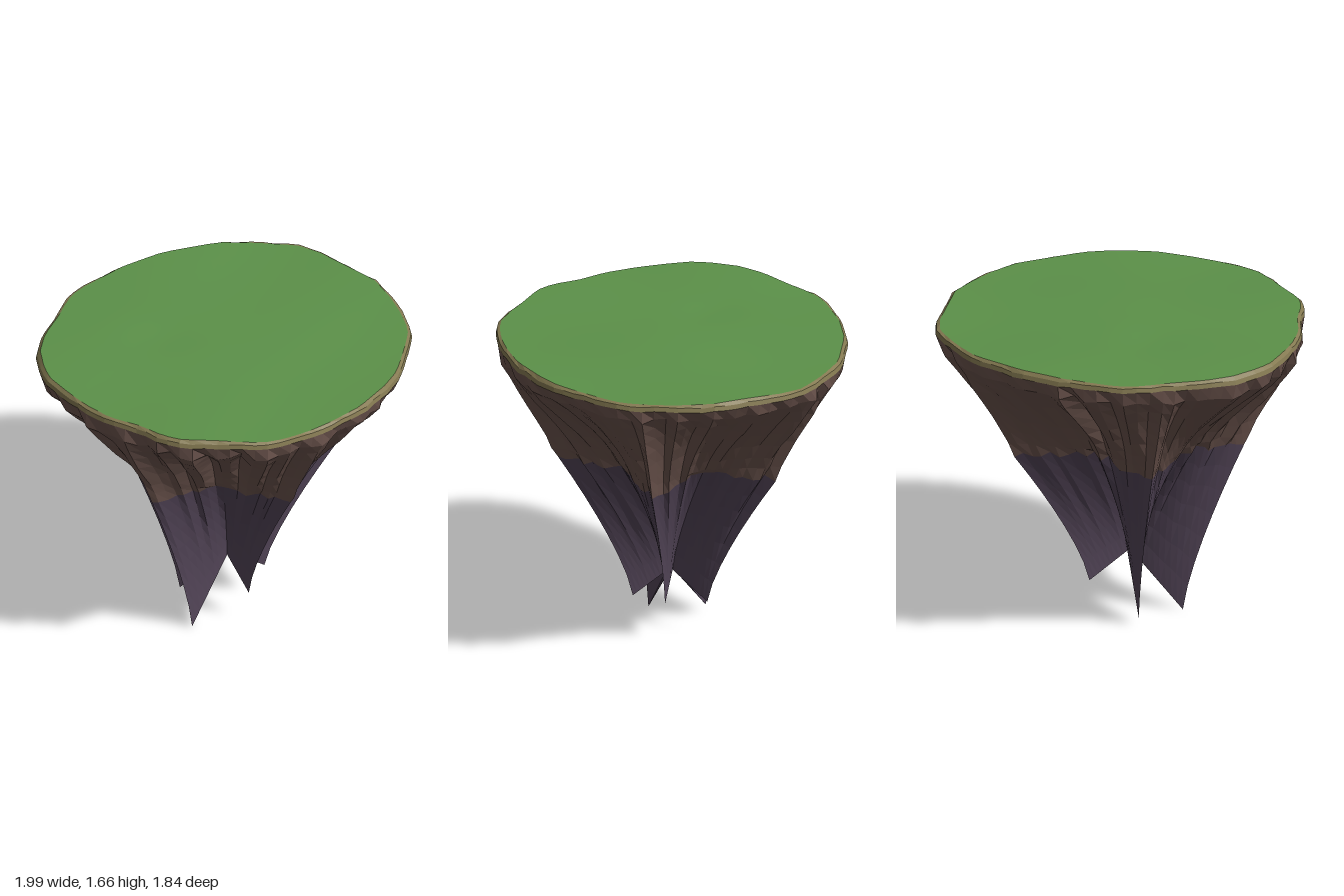
import * as THREE from 'three';

// Plan outline of the island rim as x, z pairs
const OUTLINE = [
  0.99, -0.05, 0.98, 0.1, 0.95, 0.26, 0.89, 0.36, 0.8, 0.49, 0.72, 0.6, 0.6, 0.7, 0.4, 0.82, 0.2, 0.88, 0.05, 0.91,
  -0.1, 0.92, -0.2, 0.91, -0.3, 0.87, -0.45, 0.79, -0.6, 0.72, -0.68, 0.64, -0.75, 0.5, -0.86, 0.36, -0.93, 0.2,
  -0.97, 0.05, -1, -0.1, -0.99, -0.2, -0.94, -0.36, -0.85, -0.49, -0.7, -0.63, -0.6, -0.74, -0.5, -0.81, -0.3, -0.87,
  -0.2, -0.9, 0.05, -0.93, 0.37, -0.9, 0.55, -0.82, 0.74, -0.71, 0.82, -0.6, 0.91, -0.39, 0.98, -0.23,
];
// Tips of the five hanging spikes, in order of angle
const TIPS = [[0.2, 0.2, 0.03], [0.03, 0.18, 0.2], [-0.26, 0, 0.12], [-0.19, 0.04, -0.18], [0.12, 0.18, -0.19]];
const TAU = Math.PI * 2;
const STEPS = 9; // columns between a spike and the neighbouring crease
const CORE_Y = 0.32;

let seed = 11;
const rand = () => {
  seed = (seed * 16807) % 2147483647;
  return seed / 2147483647 - 0.5;
};
const lerp = THREE.MathUtils.lerp;

// Rim radius at a given angle, on the straight edge between outline points
function rimRadius(angle) {
  const dx = Math.cos(angle), dz = Math.sin(angle), n = OUTLINE.length;
  for (let i = 0; i < n; i += 2) {
    const ax = OUTLINE[i], az = OUTLINE[i + 1];
    const bx = OUTLINE[(i + 2) % n], bz = OUTLINE[(i + 3) % n];
    const ca = dx * az - dz * ax, cb = dx * bz - dz * bx;
    if (ca <= 0 && cb > 0 && dx * ax + dz * az > 0) {
      const t = ca / (ca - cb);
      return Math.hypot(lerp(ax, bx, t), lerp(az, bz, t));
    }
  }
  return 0.95;
}

// Columns run from spike to crease to the next spike, all the way round
function makeColumns() {
  const columns = [];
  const angles = TIPS.map(([x, , z]) => (Math.atan2(z, x) + TAU) % TAU);
  TIPS.forEach((tip, i) => {
    const nextTip = TIPS[(i + 1) % 5];
    const a0 = angles[i], a1 = angles[(i + 1) % 5] + (i === 4 ? TAU : 0), mid = (a0 + a1) / 2;
    for (let k = 0; k < STEPS * 2; k++) {
      const rising = k >= STEPS;
      const f = rising ? (2 * STEPS - k) / STEPS : k / STEPS; // 0 at a spike, 1 at a crease
      const angle = lerp(a0, a1, k / (2 * STEPS));
      columns.push({
        angle, f, mid, tip: rising ? nextTip : tip, ridge: rising ? a1 : a0, rim: rimRadius(angle),
        fold: f === 0 ? 0.2 : rand() + (k % 3 === 1 ? -0.45 : 0.1),
        lip: rand() * 0.03, seam: rand() * 0.04,
      });
    }
  });
  return columns;
}

// Surface through closed rows of points
function loft(rows, flat) {
  const n = rows[0].length, pos = [], index = [];
  rows.forEach((row) => row.forEach((p) => pos.push(p[0], p[1], p[2])));
  for (let i = 0; i < rows.length - 1; i++) {
    for (let j = 0; j < n; j++) {
      const a = i * n + j, b = i * n + ((j + 1) % n);
      index.push(a, b, a + n, b, b + n, a + n);
    }
  }
  let geo = new THREE.BufferGeometry();
  geo.setAttribute('position', new THREE.Float32BufferAttribute(pos, 3));
  geo.setIndex(index);
  if (flat) geo = geo.toNonIndexed();
  geo.computeVertexNormals();
  return geo;
}

export function createModel() {
  const group = new THREE.Group();
  const material = (name, color) => {
    const m = new THREE.MeshStandardMaterial({ color });
    m.name = name;
    return m;
  };
  const add = (name, rows, mat, flat) => {
    const mesh = new THREE.Mesh(loft(rows, flat), mat);
    mesh.name = name;
    group.add(mesh);
  };
  const columns = makeColumns();
  const ring = (fn) => columns.map(fn);
  const polar = (angle, r, y) => [Math.cos(angle) * r, y, Math.sin(angle) * r];

  // Gently uneven ground height, lower towards +x
  const ground = (x, z) => 1.643 - 0.011 * x + 0.006 * Math.sin(5 * x + 2 * z) * Math.cos(4 * z - x)
    + 0.014 * Math.exp(-((x + 0.25) ** 2 + (z + 0.15) ** 2) * 6)
    - 0.008 * Math.exp(-((x + 0.3) ** 2 + (z + 0.2) ** 2) * 40);
  const groundPoint = (c, s) => {
    const p = polar(c.angle, c.rim * 0.977 * s, 0);
    p[1] = ground(p[0], p[2]);
    return p;
  };

  // Grass top, from the middle outwards
  const grassRows = [];
  for (let i = 0; i <= 12; i++) grassRows.push(ring((c) => groundPoint(c, i / 12)));
  add('grassTop', grassRows, material('grass', 0x5c9149), false);

  // Soil band round the rim
  const rimY = (c) => 1.607 - 0.011 * Math.cos(c.angle) + c.lip * 0.3;
  const soilRows = [
    ring((c) => groundPoint(c, 1)),
    ring((c) => polar(c.angle, c.rim * 0.994, rimY(c) + 0.024)),
    ring((c) => polar(c.angle, c.rim, rimY(c))),
  ];
  add('soilRim', soilRows, material('soil', 0x857a52), true);

  // Upper rock: round at the rim, turning into a folded five-pointed star
  const profile = [[1.535, 0.985], [1.46, 0.935], [1.38, 0.885], [1.29, 0.83], [1.2, 0.775], [1.11, 0.725], [1.04, 0.69], [0.97, 0.655]];
  const rockRows = [soilRows[2]];
  profile.forEach(([y, scale], i) => {
    const t = (i + 1) / profile.length;
    const star = t * t * (3 - 2 * t) * 0.9;
    const last = i === profile.length - 1;
    rockRows.push(ring((c) => {
      const round = polar(c.angle, c.rim * scale, 0);
      const ridge = polar(c.ridge, rimRadius(c.ridge) * scale, 0);
      const crease = polar(c.mid, rimRadius(c.mid) * scale * 0.58, 0);
      const push = 1 + c.fold * 0.1 * Math.sin(Math.PI * Math.min(t, 0.8)) + rand() * 0.012;
      const axis = (k) => lerp(round[k], lerp(ridge[k], crease[k], c.f), star) * push;
      const height = y + (last ? c.seam + 0.03 * c.f : c.lip * (1 - t));
      return [axis(0), height, axis(2)];
    }));
  });
  add('upperRock', rockRows, material('brown rock', 0x6e564f), true);

  // Lower rock: each lobe narrows to a hanging blade that meets the core
  const start = rockRows[rockRows.length - 1];
  const bladeRows = [];
  for (let i = 0; i <= 7; i++) {
    const u = i / 7, k = (1 - u) ** 1.3;
    bladeRows.push(ring((c, j) => {
      const core = polar(c.mid, 0.02, CORE_Y);
      const end = c.tip.map((v, a) => lerp(v, core[a], c.f));
      return [lerp(end[0], start[j][0], k), lerp(start[j][1], end[1], u), lerp(end[2], start[j][2], k)];
    }));
  }
  bladeRows.push(ring(() => [0, CORE_Y + 0.01, 0]));
  add('hangingSpikes', bladeRows, material('purple rock', 0x55475a), true);

  return group;
}
